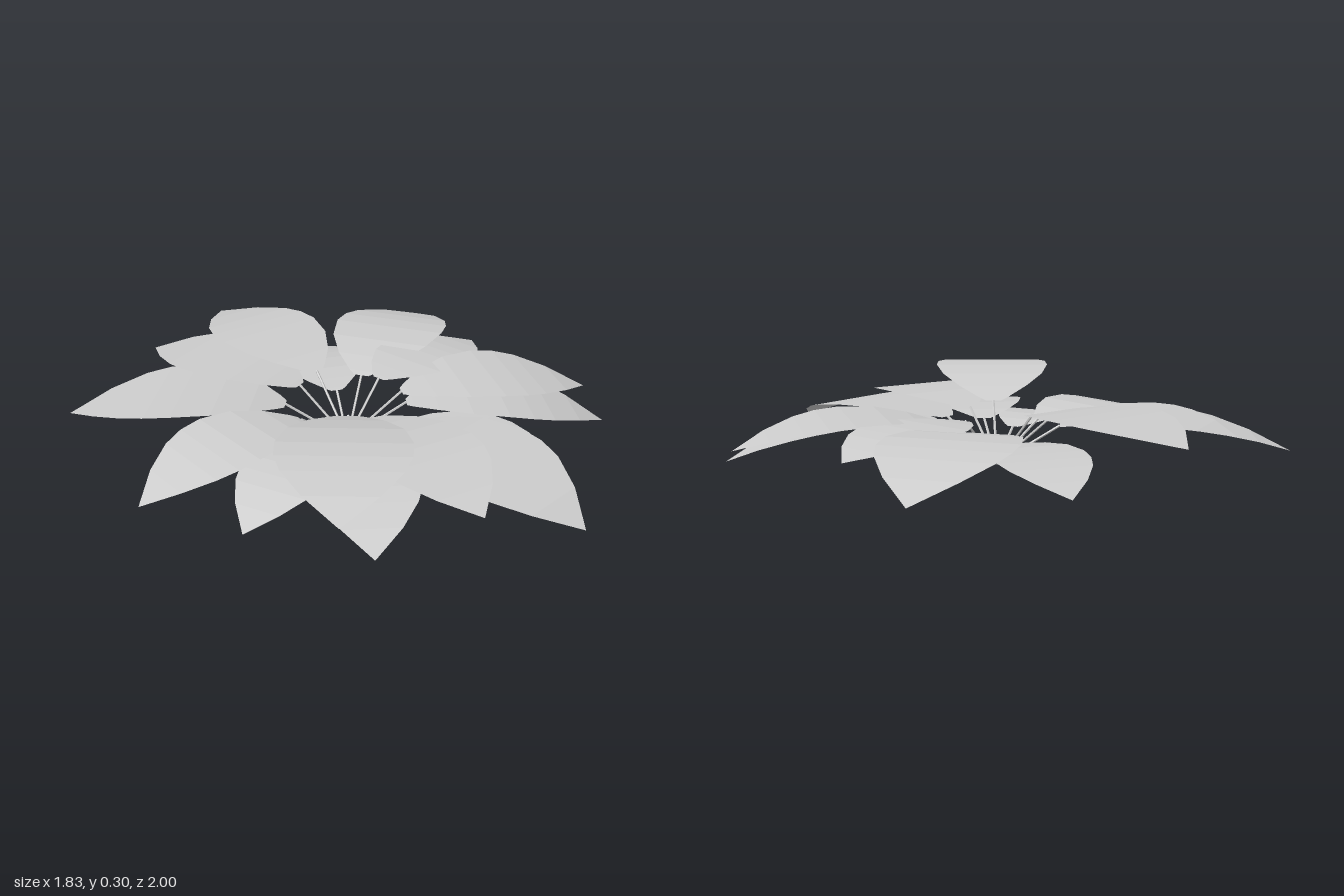
import * as THREE from 'three';

const material = new THREE.MeshStandardMaterial({ color: 0xcccccc, flatShading: true, side: THREE.DoubleSide });
const root = new THREE.Vector3(-0.01, 0.004, -0.05);

// Leaf outline: position along the leaf, share of the half width
const outline = [[0, 0.13], [0.03, 0.25], [0.14, 0.58], [0.29, 0.87], [0.46, 1],
  [0.58, 0.98], [0.69, 0.86], [0.84, 0.53], [1, 0]];

// base x, base z, tip x, tip z, half width, base height, peak height, tip height
const leaves = [
  [-0.02, -0.25, -0.04, -1.0, 0.217, 0.22, 0.273, 0.22],
  [-0.20, -0.19, -0.855, -0.74, 0.23, 0.15, 0.19, 0.065],
  [-0.11, -0.23, -0.42, -0.865, 0.208, 0.19, 0.247, 0.19],
  [0.06, -0.23, 0.24, -0.78, 0.17, 0.12, 0.14, 0.055],
  [0.17, -0.22, 0.815, -0.715, 0.23, 0.16, 0.22, 0.108],
  [0.17, -0.10, 0.77, -0.26, 0.19, 0.195, 0.208, 0.15],
  [0.20, 0.01, 0.91, 0.275, 0.213, 0.175, 0.217, 0.113],
  [0.18, 0.07, 0.865, 0.435, 0.21, 0.16, 0.185, 0.04],
  [0.09, 0.14, 0.445, 0.705, 0.183, 0.12, 0.14, 0.03],
  [0.05, 0.19, 0.23, 0.997, 0.235, 0.155, 0.19, 0.065],
  [-0.03, 0.15, -0.09, 0.86, 0.205, 0.19, 0.228, 0.155],
  [-0.12, 0.12, -0.58, 0.76, 0.232, 0.21, 0.3, 0.24],
  [-0.09, 0.14, -0.435, 0.745, 0.19, 0.14, 0.165, 0.06],
  [-0.17, 0.06, -0.685, 0.335, 0.165, 0.11, 0.13, 0.025],
  [-0.22, -0.04, -0.915, 0.025, 0.193, 0.155, 0.187, 0.052],
];

// Arched blade built from level cross-sections
function leafGeometry([bx, bz, tx, tz, half, by, peak, ty]) {
  const length = Math.hypot(tx - bx, tz - bz);
  const sx = -(tz - bz) / length, sz = (tx - bx) / length;
  const m = 0.45;
  const position = [], index = [];
  outline.forEach(([u, w], i) => {
    // parabola through base, peak and tip
    const y = by * (u - m) * (u - 1) / m + peak * u * (u - 1) / (m * (m - 1)) + ty * u * (u - m) / (1 - m);
    const x = bx + (tx - bx) * u, z = bz + (tz - bz) * u;
    for (const s of [-1, 1]) position.push(x + s * w * half * sx, y, z + s * w * half * sz);
    if (i === 0) return;
    const a = 2 * i - 2;
    index.push(a, a + 1, a + 2);
    if (w > 0) index.push(a + 1, a + 3, a + 2);
  });
  const geometry = new THREE.BufferGeometry();
  geometry.setAttribute('position', new THREE.Float32BufferAttribute(position, 3));
  geometry.setIndex(index);
  geometry.computeVertexNormals();
  return geometry;
}

// Thin straight stalk from the root to a leaf base
function stemMesh(end) {
  const direction = end.clone().sub(root);
  const mesh = new THREE.Mesh(new THREE.CylinderGeometry(0.005, 0.005, direction.length(), 5), material);
  mesh.position.copy(root).add(end).multiplyScalar(0.5);
  mesh.quaternion.setFromUnitVectors(new THREE.Vector3(0, 1, 0), direction.normalize());
  return mesh;
}

export function createModel() {
  const plant = new THREE.Group();
  plant.name = 'plant';
  leaves.forEach((leaf, i) => {
    const blade = new THREE.Mesh(leafGeometry(leaf), material);
    blade.name = `leaf${i + 1}`;
    const stem = stemMesh(new THREE.Vector3(leaf[0], leaf[5], leaf[1]));
    stem.name = `stem${i + 1}`;
    plant.add(blade, stem);
  });
  return plant;
}
